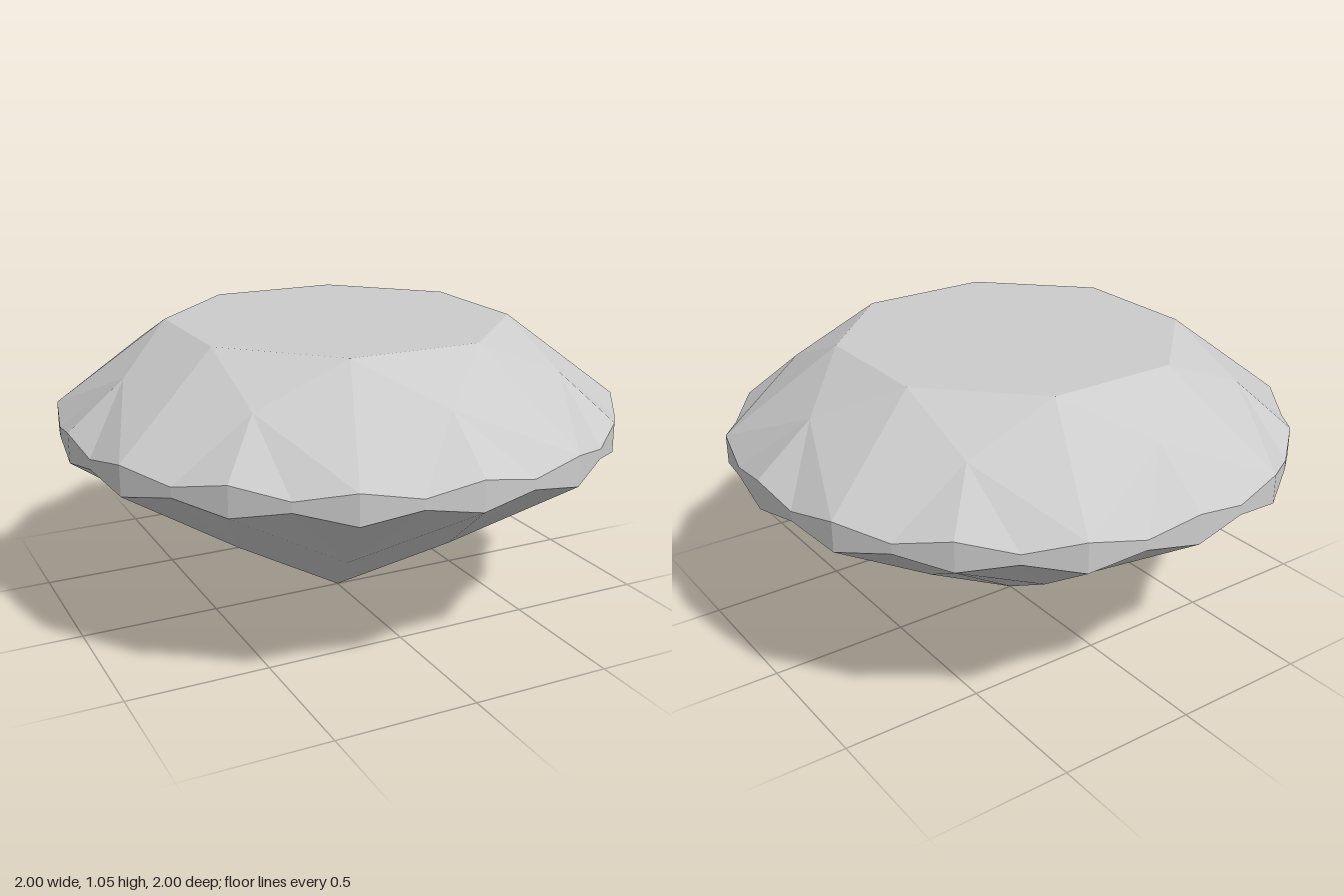
import * as THREE from 'three';

const STEP = Math.PI / 16; // the girdle has 32 corners; a sector spans 4 steps
const polar = (step, r, y) => [r * Math.sin(step * STEP), y, r * Math.cos(step * STEP)];

// Corners, by their step around the vertical axis
const tableCorner = s => polar(s, 0.617, 1.05);
const starTip = s => polar(s, 0.8, 0.915);
const pavilionCorner = s => polar(s, 0.52, 0.316);
const girdleRadius = s => (Math.abs(s) % 4 === 2 ? 1.017 : 1);
const girdleTop = s => polar(s, girdleRadius(s), s % 2 ? 0.715 : 0.75);
const girdleBottom = s => polar(s, girdleRadius(s), s % 2 ? 0.68 : 0.645);
const tableCentre = [0, 1.05, 0];
const culet = [0, 0, 0];

// Fan of triangles over a polygon whose corners run anticlockwise from outside
function facet(out, ...corners) {
  for (let i = 1; i < corners.length - 1; i++) out.push(...corners[0], ...corners[i], ...corners[i + 1]);
}

// Repeats the facets of one sector eight times around the axis
function facetRing(name, material, addSector) {
  const positions = [];
  for (let k = 0; k < 8; k++) addSector(positions, k * 4);
  const geometry = new THREE.BufferGeometry();
  geometry.setAttribute('position', new THREE.Float32BufferAttribute(positions, 3));
  geometry.computeVertexNormals();
  const mesh = new THREE.Mesh(geometry, material);
  mesh.name = name;
  return mesh;
}

export function createModel() {
  const group = new THREE.Group();
  group.name = 'cutGem';
  const material = new THREE.MeshStandardMaterial({ color: 0xcccccc, flatShading: true });

  // Flat octagon on top
  group.add(facetRing('table', material, (out, s) => {
    facet(out, tableCentre, tableCorner(s - 2), tableCorner(s + 2));
  }));

  // Star, bezel and upper girdle facets
  group.add(facetRing('crown', material, (out, s) => {
    const tip = starTip(s);
    facet(out, tip, tableCorner(s + 2), tableCorner(s - 2));
    facet(out, tip, tableCorner(s - 2), girdleTop(s - 2));
    facet(out, tip, girdleTop(s + 2), tableCorner(s + 2));
    facet(out, tip, girdleTop(s - 2), girdleTop(s - 1), girdleTop(s));
    facet(out, tip, girdleTop(s), girdleTop(s + 1), girdleTop(s + 2));
  }));

  // Scalloped band around the widest part
  group.add(facetRing('girdle', material, (out, s) => {
    for (let i = s - 2; i < s + 2; i++) {
      facet(out, girdleBottom(i), girdleBottom(i + 1), girdleTop(i + 1), girdleTop(i));
    }
  }));

  // Long kites to the point, with lower girdle facets between them
  group.add(facetRing('pavilion', material, (out, s) => {
    const left = pavilionCorner(s - 2);
    const right = pavilionCorner(s + 2);
    facet(out, culet, right, girdleBottom(s), left);
    facet(out, left, girdleBottom(s), girdleBottom(s - 1), girdleBottom(s - 2));
    facet(out, right, girdleBottom(s + 2), girdleBottom(s + 1), girdleBottom(s));
  }));

  return group;
}
